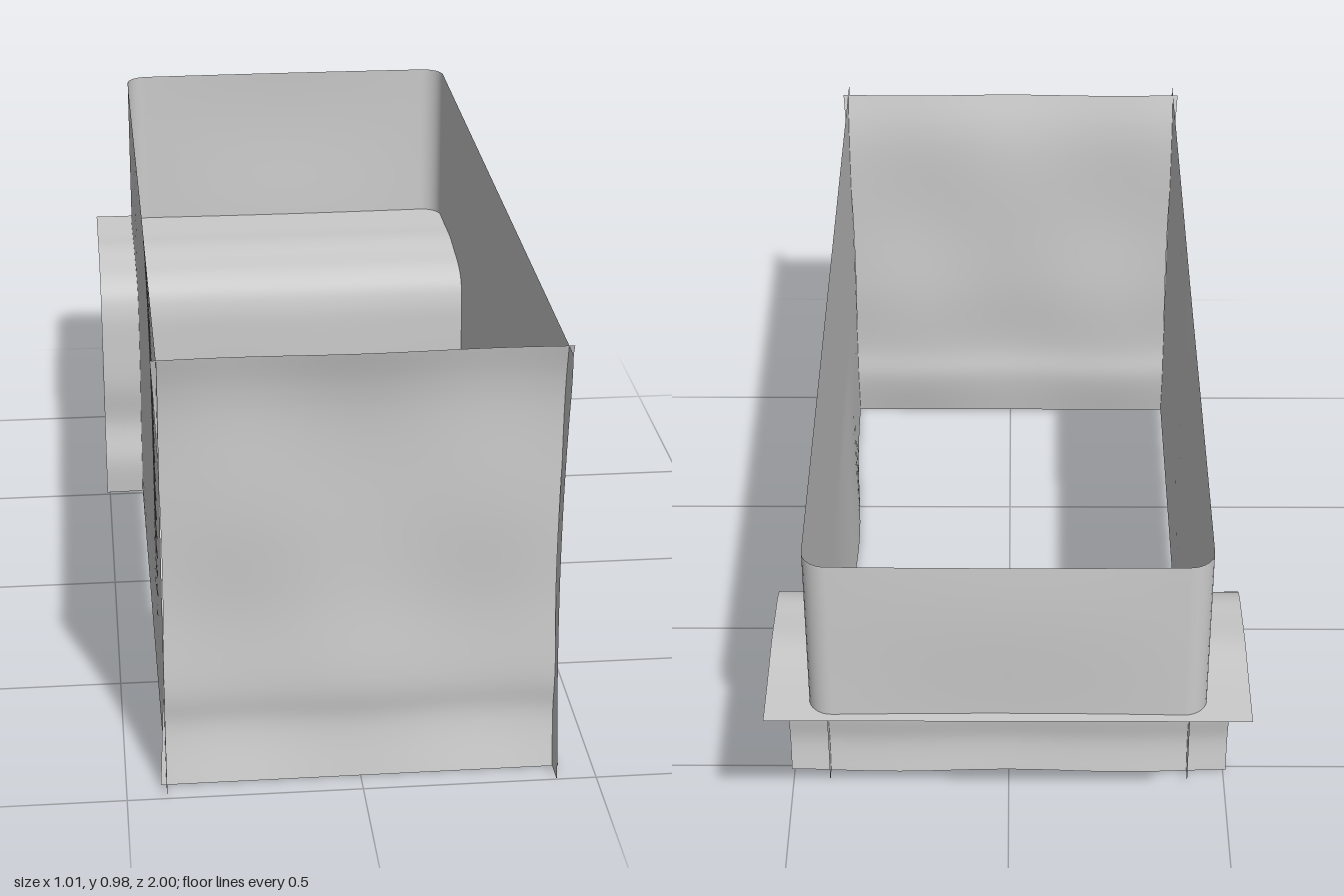
import * as THREE from 'three';

const material = new THREE.MeshStandardMaterial({ color: 0xcccccc, side: THREE.DoubleSide });

// Curved sheet: at(i, v) gives the point for column i and height fraction v
function sheet(name, cols, rows, at) {
  const pos = [], idx = [];
  for (let i = 0; i <= cols; i++)
    for (let j = 0; j <= rows; j++) pos.push(...at(i, j / rows));
  for (let i = 0; i < cols; i++)
    for (let j = 0; j < rows; j++) {
      const a = i * (rows + 1) + j, b = a + rows + 1;
      idx.push(a, b, a + 1, b, b + 1, a + 1);
    }
  const g = new THREE.BufferGeometry();
  g.setAttribute('position', new THREE.Float32BufferAttribute(pos, 3));
  g.setIndex(idx);
  g.computeVertexNormals();
  const mesh = new THREE.Mesh(g, material);
  mesh.name = name;
  return mesh;
}

// Smooth curve through 2D points
const curve = (pts) => new THREE.SplineCurve(pts.map((p) => new THREE.Vector2(...p)));

const TOP = 0.98, W = 0.415, BACK = -0.98, R = 0.05, NOTCH = -0.555;

// Forward bow of the side walls' front edges
const frontEdge = (y) => 0.95 + 0.05 * Math.min(1, (Math.abs(y - 0.48) / 0.44) ** 2);

// Lower edge of the shell: floor level, then up and over the notch
function lowerEdge(z) {
  const k = [[NOTCH, 0.48], [-0.65, 0.545], [-0.75, 0.59], [-0.83, 0.575], [-1, 0.575]];
  for (let i = 1; i < k.length; i++)
    if (z >= k[i][0]) {
      const t = (z - k[i - 1][0]) / (k[i][0] - k[i - 1][0]);
      return k[i - 1][1] + t * (k[i][1] - k[i - 1][1]);
    }
  return 0.575;
}

// Plan columns of one half of the shell, front to back centre: [x, z, bottom]
function halfPlan() {
  const c = [];
  for (let i = 0; i <= 30; i++) c.push([W, 1 + (NOTCH - 1) * i / 30, 0]);
  for (let i = 0; i <= 10; i++) {
    const z = NOTCH + (BACK + R - NOTCH) * i / 10;
    c.push([W, z, lowerEdge(z)]);
  }
  for (let i = 1; i <= 8; i++) {
    const a = i / 8 * Math.PI / 2;
    c.push([W - R + R * Math.cos(a), BACK + R - R * Math.sin(a), 0.575]);
  }
  for (let i = 1; i <= 8; i++) c.push([(W - R) * (1 - i / 8), BACK, 0.575]);
  return c;
}

export function createModel() {
  const group = new THREE.Group();

  // Side walls and rounded back wall as one continuous strip
  const half = halfPlan();
  const plan = [...half, ...half.slice(0, -1).reverse().map(([x, z, b]) => [-x, z, b])];
  group.add(sheet('wallShell', plan.length - 1, 24, (i, v) => {
    let [x, z, bottom] = plan[i];
    const y = bottom + (TOP - bottom) * v;
    // Walls sag slightly inward, most at the left wall's lower edge
    const sag = Math.exp(-(((z - 0.35) / 0.3) ** 2));
    if (x > 0.4) x -= 0.025 * sag * Math.max(0, 1 - y / 0.4);
    if (x < -0.4) x += 0.012 * Math.exp(-((z / 0.4) ** 2)) * Math.sin(Math.PI * y);
    if (z > 0.5) z += (frontEdge(y) - 1) * (z - 0.5) / 0.5;
    if (z < BACK + 0.01) z -= 0.006 * Math.cos(x * 4) * Math.sin(y * 9);
    return [x, y, z];
  }));

  // Front panel, set just behind the wall edges, with a forward-leaning top
  const front = curve([[0.945, 0], [0.925, 0.12], [0.932, 0.22], [0.923, 0.4],
    [0.925, 0.6], [0.924, 0.8], [0.932, 0.9], [0.95, TOP]]);
  group.add(sheet('frontPanel', 20, 40, (i, v) => {
    const p = front.getPoint(v), u = i / 20 * 2 - 1;
    const halfWidth = 0.412 + 0.015 * Math.abs(2 * p.y / TOP - 1) ** 2;
    return [u * halfWidth, p.y, p.x + 0.006 * Math.cos(u * 5) * Math.sin(p.y * 7)];
  }));

  // Wide sheet that lines the notch and rolls back into a ledge
  const ledge = curve([[-0.515, 0], [-0.508, 0.09], [-0.522, 0.19], [-0.508, 0.3], [-0.507, 0.42],
    [-0.511, 0.5], [-0.53, 0.55], [-0.58, 0.575], [-0.66, 0.585], [-0.75, 0.594],
    [-0.85, 0.59], [-1, 0.588]]);
  group.add(sheet('notchSheet', 20, 66, (i, v) => {
    const p = ledge.getPoint(v), u = i / 20 * 2 - 1;
    return [u * 0.507, p.y, p.x + 0.004 * Math.cos(u * 6) * (1 - v)];
  }));

  return group;
}
